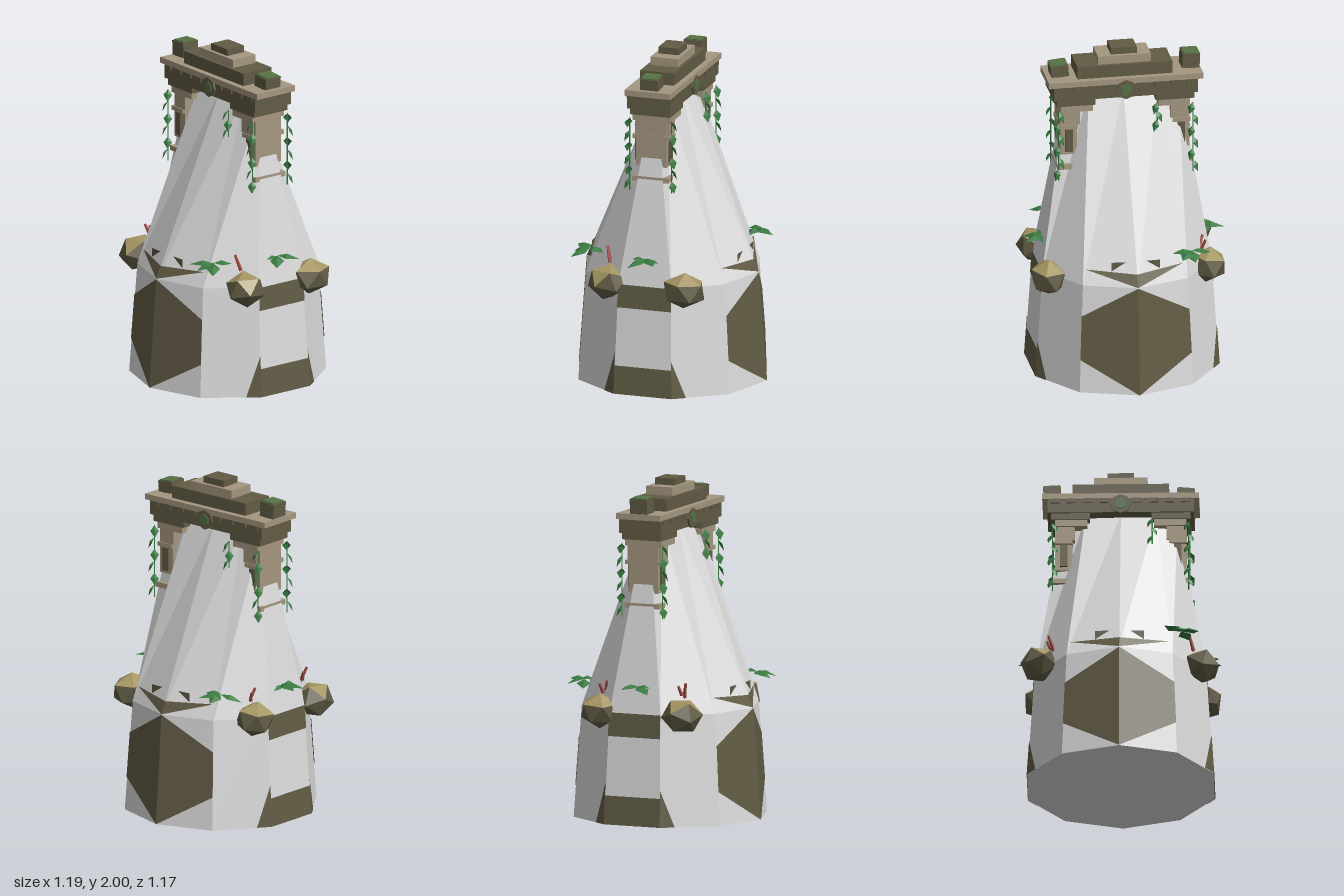
import * as THREE from 'three';

const mat = (name, color, side = THREE.FrontSide) => {
  const m = new THREE.MeshStandardMaterial({ color, side, flatShading: true });
  m.name = name;
  return m;
};

// Decagonal body: [height, x radius, z radius]
const RINGS = [[0, 0.575, 0.58], [0.66, 0.53, 0.53], [1.74, 0.35, 0.05]];

// Point on the body at corner number i (may be fractional) and height y
function bodyPoint(i, y, grow = 0) {
  const k = y <= RINGS[1][0] ? 0 : 1;
  const [a, b] = [RINGS[k], RINGS[k + 1]];
  const t = (y - a[0]) / (b[0] - a[0]);
  const rx = a[1] + (b[1] - a[1]) * t + grow;
  const rz = a[2] + (b[2] - a[2]) * t + grow;
  const corner = (n) => [Math.sin(n * Math.PI / 5) * rx, Math.cos(n * Math.PI / 5) * rz];
  const n = Math.floor(i), u = i - n;
  const [p, q] = [corner(n), corner(n + 1)];
  return [p[0] + (q[0] - p[0]) * u, y, p[1] + (q[1] - p[1]) * u];
}

// Flat-faced geometry from convex polygons, each a loop of points
function polygons(polys) {
  const pos = [];
  for (const p of polys)
    for (let i = 1; i < p.length - 1; i++) pos.push(...p[0], ...p[i], ...p[i + 1]);
  const g = new THREE.BufferGeometry();
  g.setAttribute('position', new THREE.Float32BufferAttribute(pos, 3));
  g.computeVertexNormals();
  return g;
}

export function createModel() {
  const model = new THREE.Group();
  const white = mat('paleStone', 0xdcdcdc);
  const dark = mat('darkStone', 0x625c45);
  const patchMat = mat('darkPatch', 0x625c45, THREE.DoubleSide);
  const tan = mat('tanStone', 0xa59780);
  const sand = mat('sandyTop', 0xa39461);
  const moss = mat('moss', 0x567344);
  const green = mat('leafGreen', 0x387a40, THREE.DoubleSide);
  const red = mat('coralRed', 0xa34c44);

  const add = (name, geo, m, x = 0, y = 0, z = 0, parent = model) => {
    const mesh = new THREE.Mesh(geo, m);
    mesh.name = name;
    mesh.position.set(x, y, z);
    parent.add(mesh);
    return mesh;
  };
  // Box given by centre x, z, half sizes and bottom/top heights
  const slab = (name, m, x, z, hx, hz, y0, y1) =>
    add(name, new THREE.BoxGeometry(hx * 2, y1 - y0, hz * 2), m, x, (y0 + y1) / 2, z);

  // Tapering body
  const faces = [];
  const ringLoop = (y) => Array.from({ length: 10 }, (_, i) => bodyPoint(i, y));
  for (let k = 0; k < 2; k++)
    for (let i = 0; i < 10; i++) {
      const [y0, y1] = [RINGS[k][0], RINGS[k + 1][0]];
      faces.push([bodyPoint(i, y0), bodyPoint(i + 1, y0), bodyPoint(i + 1, y1), bodyPoint(i, y1)]);
    }
  faces.push(ringLoop(0).reverse(), ringLoop(1.74));
  add('towerBody', polygons(faces), white);

  // Dark patches: hexagons front and back, bands on the sides
  const patches = [];
  const patch = (...uv) => patches.push(uv.map(([i, y]) => bodyPoint(i, y, 0.004)));
  for (const c of [0, 5]) {
    patch([c, 0], [c + 1, 0.2], [c + 1, 0.47], [c, 0.659]);
    patch([c, 0], [c, 0.659], [c - 1, 0.47], [c - 1, 0.2]);
    patch([c, 0.662], [c + 0.95, 0.75], [c, 0.735]);
    patch([c, 0.662], [c, 0.735], [c - 0.95, 0.75]);
    const s = c ? -1 : 1;
    for (const x of [-1, 1])
      patches.push([[0.06 * x, 0.8, 0.455 * s], [0.145 * x, 0.8, 0.45 * s], [0.145 * x, 0.745, 0.45 * s]]);
  }
  for (const c of [2, 7]) {
    patch([c, 0], [c + 1, 0], [c + 1, 0.17], [c, 0.17]);
    patch([c, 0.52], [c + 1, 0.52], [c + 1, 0.659], [c, 0.659]);
    patch([c, 0], [c, 0.25], [c - 0.25, 0]);
    patch([c + 1, 0], [c + 1.25, 0], [c + 1, 0.22]);
  }
  add('darkPatches', polygons(patches), patchMat);

  // Columns with capitals, bands and dark insets
  for (const s of [-1, 1]) {
    slab('column', tan, s * 0.335, 0, 0.05, 0.095, 1.36, 1.64);
    slab('columnInset', dark, s * 0.335, 0, 0.022, 0.11, 1.38, 1.52);
    slab('columnBand', tan, s * 0.335, 0, 0.053, 0.115, 1.525, 1.55);
    slab('columnNeck', tan, s * 0.32, 0, 0.05, 0.108, 1.55, 1.635);
    slab('capital', tan, s * 0.29, 0, 0.095, 0.118, 1.635, 1.675);
    slab('columnLedge', tan, s * 0.36, 0, 0.045, 0.112, 1.27, 1.3);
    slab('lintelFoot', dark, s * 0.295, 0, 0.115, 0.125, 1.675, 1.72);
  }

  // Stepped roof
  slab('lintel', dark, 0, 0, 0.43, 0.135, 1.715, 1.8);
  slab('cornice', tan, 0, 0, 0.46, 0.142, 1.8, 1.835);
  slab('roofStep', dark, 0, 0, 0.283, 0.105, 1.835, 1.91);
  slab('upperStep', tan, 0, 0, 0.157, 0.085, 1.91, 1.96);
  slab('roofCap', dark, 0, 0, 0.077, 0.063, 1.96, 2);
  for (let i = -4; i <= 4; i++)
    for (const s of [-1, 1])
      if (i) slab('dentil', dark, i * 0.096, s * 0.136, 0.026, 0.01, 1.775, 1.802);

  // Mossy corner blocks
  for (const [x, h, tilt] of [[-0.403, 0.09, 0.05], [0.38, 0.07, -0.09]]) {
    const b = slab('cornerBlock', dark, x, 0, 0.052, 0.055, 1.835, 1.835 + h);
    b.rotation.z = tilt;
    add('mossTop', new THREE.BoxGeometry(0.09, 0.008, 0.096), moss, 0, h / 2 + 0.002, 0, b);
  }

  // Round medallions on both long sides
  for (const s of [-1, 1]) {
    const ring = add('medallion', new THREE.CylinderGeometry(0.06, 0.06, 0.02, 8), dark, 0, 1.765, s * 0.137);
    ring.rotation.x = s * Math.PI / 2;
    add('medallionCentre', new THREE.CylinderGeometry(0.036, 0.036, 0.008, 6), moss, 0, 0.012, 0, ring);
  }

  // Boulders, with sandy upward faces
  const boulders = [[-0.475, 0.66, 0.29, 0.3], [0.475, 0.66, 0.24, 1.2], [-0.47, 0.66, -0.24, 2.1], [0.48, 0.65, -0.235, 3.4]];
  boulders.forEach(([x, y, z, turn], k) => {
    const g = new THREE.IcosahedronGeometry(0.115, 0);
    g.rotateX(0.45 + k * 0.2).rotateY(turn).scale(1, 0.94, k === 3 ? 1.2 : 1.1);
    g.computeVertexNormals();
    const n = g.attributes.normal;
    for (let f = 0; f < n.count; f += 3) g.addGroup(f, 3, n.getY(f) > 0.5 ? 1 : 0);
    add('boulder', g, [dark, sand], x, y, z);
  });

  // Little coral sprigs beside the boulders
  for (const [x, y, z] of [[-0.41, 0.8, 0.265], [0.41, 0.81, 0.24], [-0.435, 0.79, -0.23]])
    for (const s of [-1, 1]) {
      const c = add('coralSprig', new THREE.CylinderGeometry(0.008, 0.012, s > 0 ? 0.1 : 0.06, 5), red, x + s * 0.008, y, z + s * 0.012);
      c.rotation.set(s * 0.25, 0, x > 0 ? 0.25 : 0.35);
    }

  // Folded leaf pointing along +z, ridge upwards
  const leafGeo = (l, w) => {
    const b = [0, 0, 0], r = [0, w * 0.3, l * 0.45], t = [0, -w * 0.4, l];
    const L = [w, -w * 0.15, l * 0.45], R = [-w, -w * 0.15, l * 0.45];
    return polygons([[b, r, L], [r, t, L], [b, R, r], [r, R, t]]);
  };
  const leaf = (x, y, z, yaw, pitch, l, w) => {
    const m = add('leaf', leafGeo(l, w), green, x, y, z);
    m.rotation.set(pitch, yaw, 0, 'YXZ');
  };

  // Leaf clumps around the waist: position and leaf directions
  const clumps = [
    [0.47, 0, [2.15, 0.9, -0.1, 3.3]], [-0.47, 0, [-1.9, -0.7, 0.1, 3.1]],
    [0.36, 0.39, [-0.75, 0.9, 2.7, -0.2]], [-0.34, -0.4, [2.6, -1.2, 1.55, 3.2]],
  ];
  for (const [x, z, yaws] of clumps)
    yaws.forEach((a, i) => leaf(x, 0.82, z, a, i % 2 ? 0.15 : -0.05, i < 2 ? 0.14 : 0.11, 0.042));

  // Hanging vines at the four corners, and short ones by the arch
  const vine = (x, z, count, y0, step) => {
    const s = Math.sign(x), f = Math.sign(z);
    add('vineStem', new THREE.CylinderGeometry(0.004, 0.004, count * step, 4), green, x, y0 - count * step / 2, z);
    for (let i = 0; i < count; i++) {
      const side = i % 2 ? 1 : -1;
      leaf(x, y0 - i * step, z, f > 0 ? side * s * 0.8 : Math.PI - side * s * 0.8, 0.95, 0.075, 0.026);
    }
  };
  for (const s of [-1, 1])
    for (const f of [-1, 1]) vine(s * 0.4, f * 0.13, 6, 1.65, 0.073);
  vine(0.185, 0.14, 3, 1.67, 0.055);
  vine(-0.185, -0.14, 3, 1.67, 0.055);

  return model;
}
